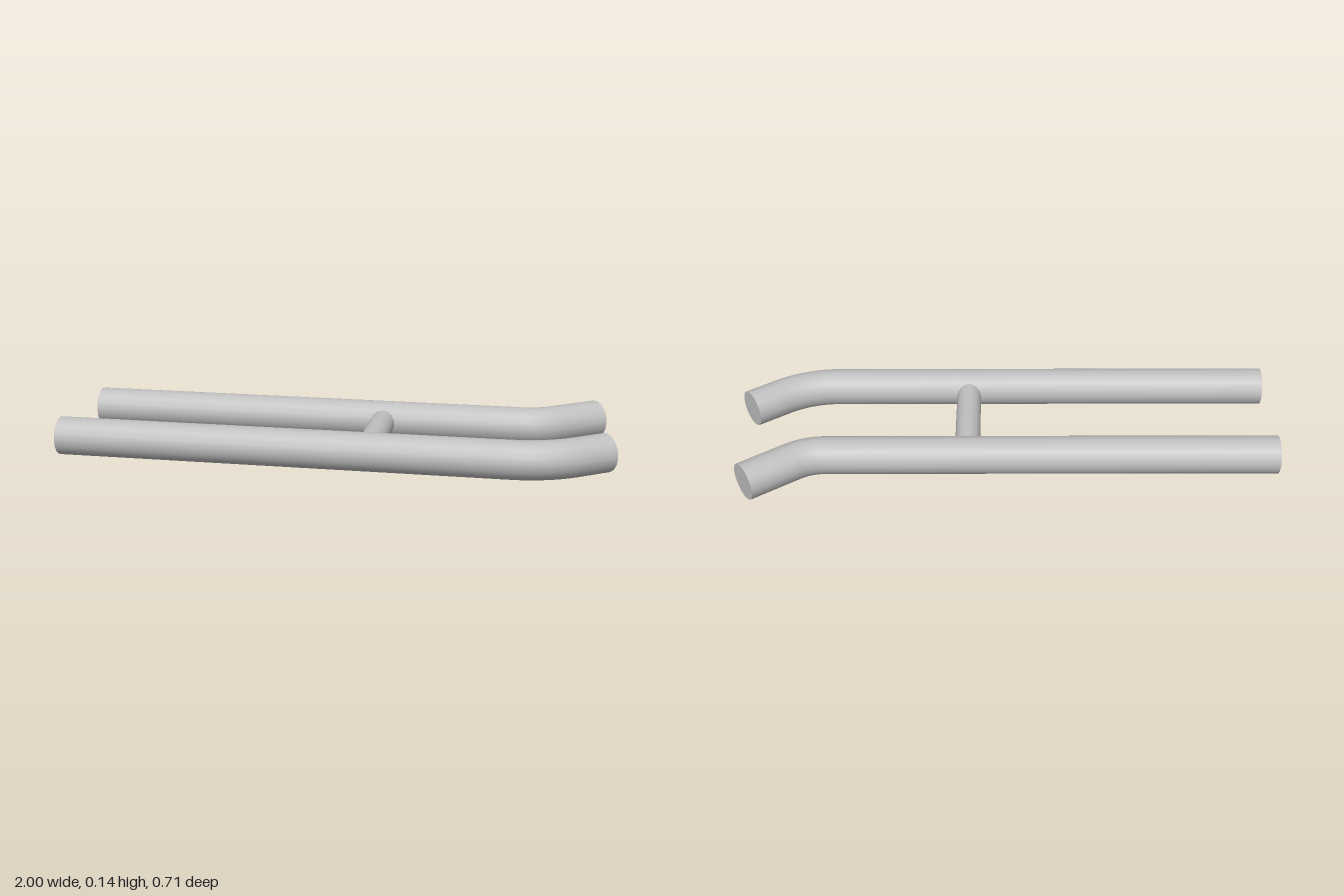
import * as THREE from 'three';

const R = 0.0695;              // rail radius
const ANGLE = 0.62;            // bend angle of the rail ends
const SIDES = 16;
const ARC_STEPS = 10;

// Capped round bar: straight run from x = -1, an arc, then a straight tip.
function bentRail(z, bendX, bendRadius, tipLength) {
  const stations = [{ x: -1, z, a: 0 }];
  for (let i = 0; i <= ARC_STEPS; i++) {
    const a = ANGLE * i / ARC_STEPS;
    stations.push({
      x: bendX + bendRadius * Math.sin(a),
      z: z - bendRadius * (1 - Math.cos(a)),
      a,
    });
  }
  const last = stations[stations.length - 1];
  stations.push({
    x: last.x + tipLength * Math.cos(ANGLE),
    z: last.z - tipLength * Math.sin(ANGLE),
    a: ANGLE,
  });

  // Each ring of a plain cylinder is moved to its station along the path.
  const n = stations.length - 1;
  const geo = new THREE.CylinderGeometry(R, R, 1, SIDES, n);
  const pos = geo.attributes.position, nor = geo.attributes.normal;
  const v = new THREE.Vector3(), m = new THREE.Matrix4();
  const up = new THREE.Vector3(0, 1, 0);
  for (let i = 0; i < pos.count; i++) {
    const s = stations[Math.round((pos.getY(i) + 0.5) * n)];
    const along = new THREE.Vector3(Math.cos(s.a), 0, -Math.sin(s.a));
    const side = new THREE.Vector3().crossVectors(up, along);
    m.makeBasis(up, along, side).setPosition(s.x, R, s.z);
    v.set(pos.getX(i), 0, pos.getZ(i)).applyMatrix4(m);
    pos.setXYZ(i, v.x, v.y, v.z);
    v.fromBufferAttribute(nor, i).transformDirection(m);
    nor.setXYZ(i, v.x, v.y, v.z);
  }
  return geo;
}

export function createModel() {
  const group = new THREE.Group();
  group.name = 'bentRailPair';
  const steel = new THREE.MeshStandardMaterial({ color: 0xc0c0c0 });
  steel.name = 'steel grey';

  const add = (name, geo) => {
    const mesh = new THREE.Mesh(geo, steel);
    mesh.name = name;
    group.add(mesh);
    return mesh;
  };

  // Two parallel rails, the front one with the wider bend
  add('frontRail', bentRail(0.285, 0.64, 0.373, 0.127));
  add('backRail', bentRail(-0.147, 0.65, 0.2, 0.197));

  // Thinner cross bar joining the rails
  const bar = add('crossBar', new THREE.CylinderGeometry(0.046, 0.046, 0.35, SIDES));
  bar.rotation.x = Math.PI / 2;
  bar.position.set(0.133, 0.071, 0.069);

  return group;
}
